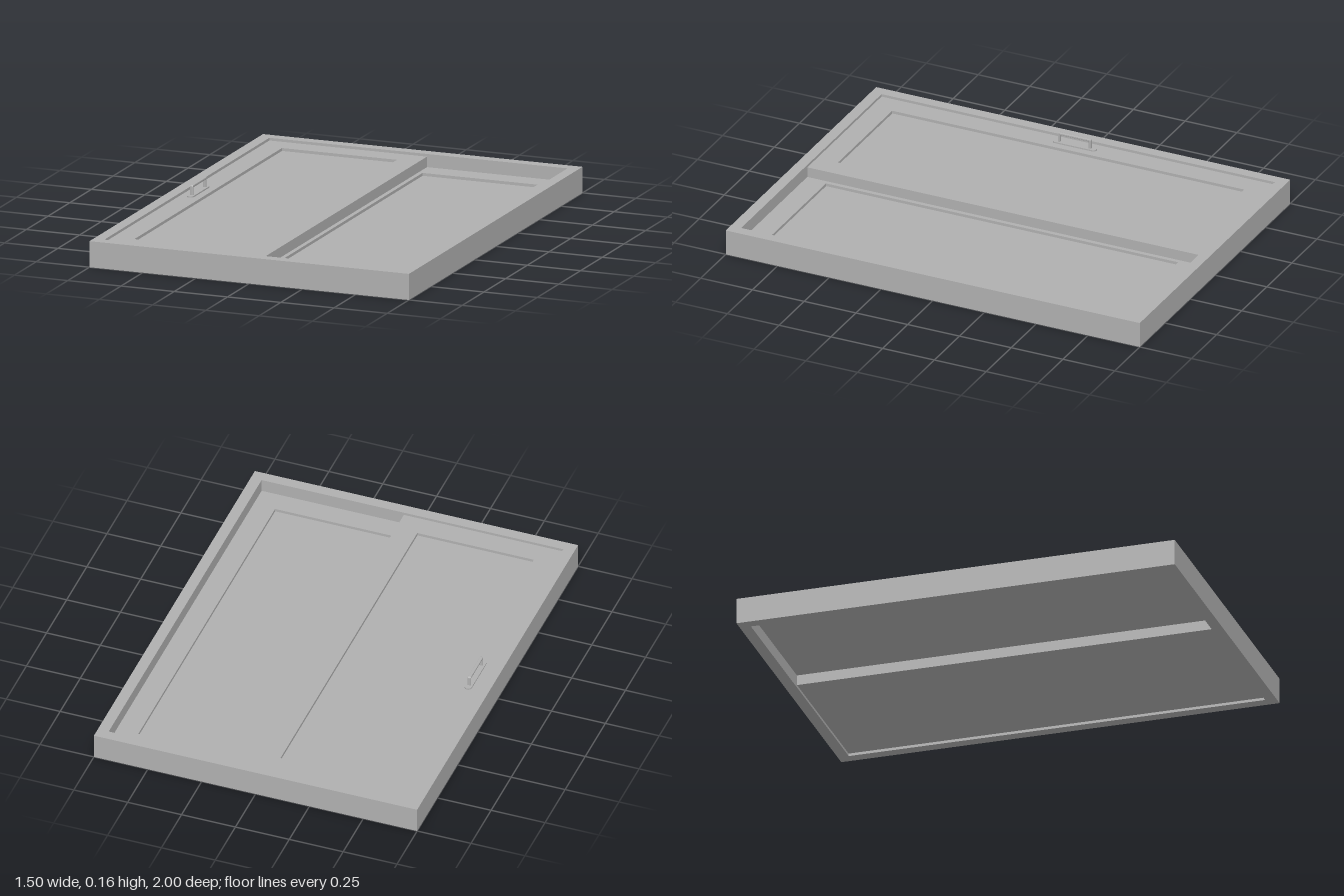
import * as THREE from 'three';

// Rectangle outline in plan (x, z); clockwise order is handled by the extruder
function rect(path, x0, x1, z0, z1) {
  path.moveTo(x0, z0);
  path.lineTo(x1, z0);
  path.lineTo(x1, z1);
  path.lineTo(x0, z1);
  path.closePath();
  return path;
}

// Extrude a plan shape upwards from y0 to y1
function slab(name, shape, y0, y1, material) {
  const geometry = new THREE.ExtrudeGeometry(shape, {
    depth: y1 - y0, bevelEnabled: false, curveSegments: 12,
  });
  geometry.rotateX(-Math.PI / 2).translate(0, y0, 0);
  const mesh = new THREE.Mesh(geometry, material);
  mesh.name = name;
  return mesh;
}

// Rectangular border with an open middle
function border(name, outer, inner, y0, y1, material) {
  const shape = rect(new THREE.Shape(), ...outer);
  shape.holes.push(rect(new THREE.Path(), ...inner));
  return slab(name, shape, y0, y1, material);
}

export function createModel() {
  const model = new THREE.Group();
  model.name = 'slidingWindow';
  const grey = new THREE.MeshStandardMaterial({ color: 0xb0b0b0 });
  grey.name = 'grey';

  // Outer frame
  model.add(border('outerFrame', [-0.75, 0.75, -1, 1], [-0.7, 0.7, -0.95, 0.95], 0, 0.117, grey));

  // Two overlapping sashes, each a border around a recessed pane
  const sashes = [
    ['slidingSash', -0.7, 0.04, 0.058, 0.105],
    ['fixedSash', -0.04, 0.7, 0.012, 0.058],
  ];
  for (const [name, x0, x1, y0, y1] of sashes) {
    const sash = new THREE.Group();
    sash.name = name;
    const opening = [x0 + 0.1, x1 - 0.1, -0.85, 0.85];
    sash.add(border(name + 'Border', [x0, x1, -0.95, 0.95], opening, y0, y1, grey));
    sash.add(slab(name + 'Pane', rect(new THREE.Shape(), ...opening), y0, y1 - 0.013, grey));
    model.add(sash);
  }

  // Handle: rounded base plate with a bow-shaped grip
  const handle = new THREE.Group();
  handle.name = 'handle';
  const r = 0.016, h = 0.089;
  const plate = new THREE.Shape();
  plate.absarc(0, h, r, 0, Math.PI);
  plate.absarc(0, -h, r, Math.PI, Math.PI * 2);
  plate.closePath();
  handle.add(slab('handlePlate', plate, 0.1, 0.111, grey));

  const bow = new THREE.Shape();
  const w = 0.08, t = 0.011, top = 0.155, c = 0.008;
  bow.moveTo(-w, 0.108);
  bow.lineTo(-w, top - c);
  bow.quadraticCurveTo(-w, top, -w + c, top);
  bow.lineTo(w - c, top);
  bow.quadraticCurveTo(w, top, w, top - c);
  bow.lineTo(w, 0.108);
  bow.lineTo(w - t, 0.108);
  bow.lineTo(w - t, top - t);
  bow.lineTo(-w + t, top - t);
  bow.lineTo(-w + t, 0.108);
  bow.closePath();
  const gripGeometry = new THREE.ExtrudeGeometry(bow, {
    depth: 0.009, bevelEnabled: true, bevelThickness: 0.003, bevelSize: 0.003,
    bevelOffset: -0.003, bevelSegments: 2, curveSegments: 4,
  });
  gripGeometry.translate(0, 0, -0.0045).rotateY(Math.PI / 2);
  const grip = new THREE.Mesh(gripGeometry, grey);
  grip.name = 'handleGrip';
  handle.add(grip);
  handle.position.set(-0.65, 0, -0.008);
  model.add(handle);

  return model;
}
